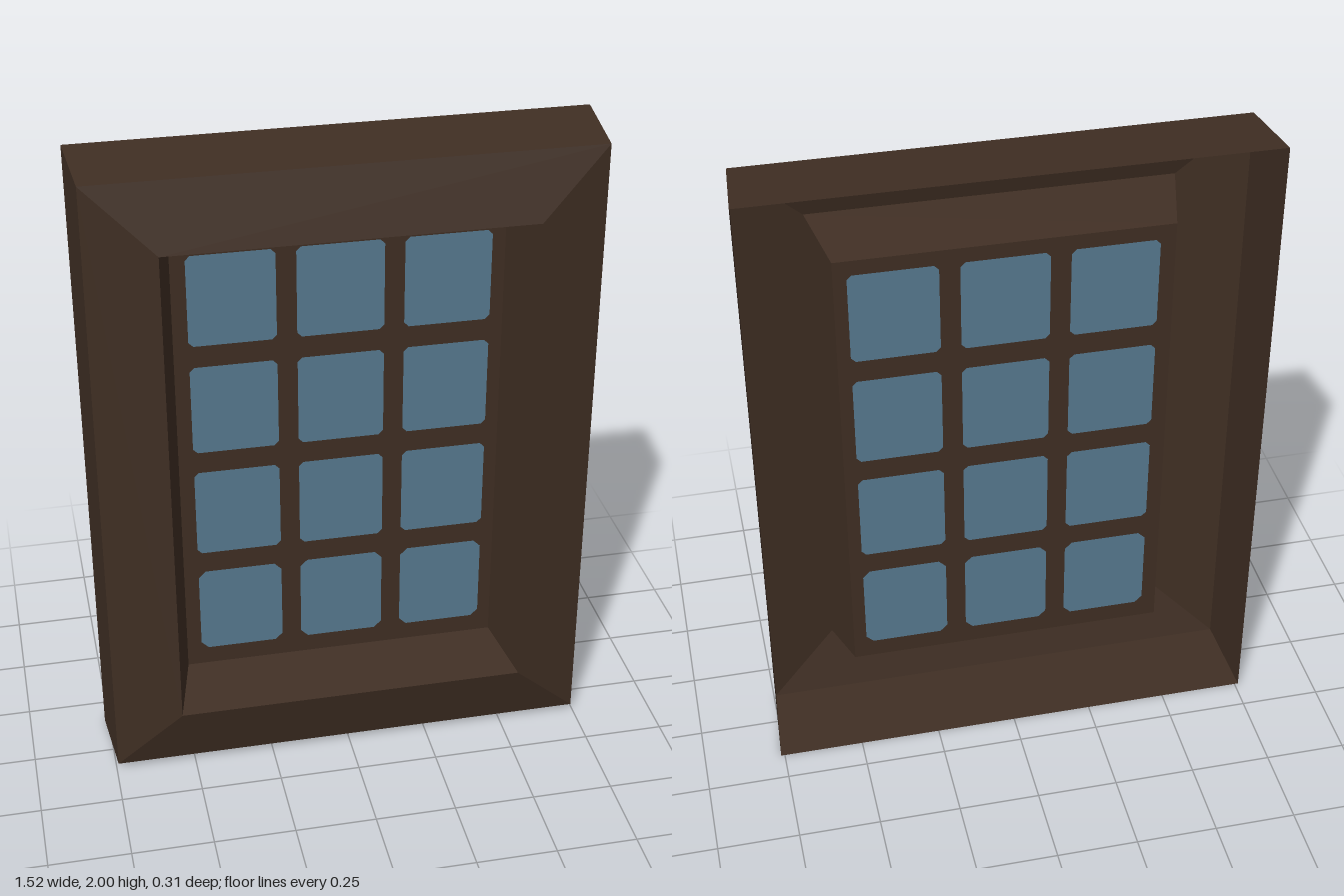
import * as THREE from 'three';

const wood = new THREE.MeshStandardMaterial({ color: 0x3f2e23, side: THREE.DoubleSide });
wood.name = 'darkWood';
const glass = new THREE.MeshStandardMaterial({ color: 0x56788e, side: THREE.DoubleSide });
glass.name = 'blueGlass';

// Corners of a rectangular ring around the window centre, anticlockwise from the front
function ring({ w, h, z }) {
  return [[-w, 1 - h, z], [w, 1 - h, z], [w, 1 + h, z], [-w, 1 + h, z]];
}

// Four mitred faces joining two rings
function band(name, from, to) {
  const a = ring(from), b = ring(to), points = [];
  for (let i = 0; i < 4; i++) {
    const j = (i + 1) % 4;
    points.push(...a[i], ...a[j], ...b[j], ...a[i], ...b[j], ...b[i]);
  }
  const geometry = new THREE.BufferGeometry();
  geometry.setAttribute('position', new THREE.Float32BufferAttribute(points, 3));
  geometry.computeVertexNormals();
  const mesh = new THREE.Mesh(geometry, wood);
  mesh.name = name;
  return mesh;
}

// Pane outline with small clipped corners
function paneOutline(x, y, w, h, c) {
  return [
    [x - w + c, y - h], [x + w - c, y - h], [x + w, y - h + c], [x + w, y + h - c],
    [x + w - c, y + h], [x - w + c, y + h], [x - w, y + h - c], [x - w, y - h + c],
  ].map(([px, py]) => new THREE.Vector2(px, py));
}

export function createModel() {
  const model = new THREE.Group();
  model.name = 'window';

  // Hollow frame: tapered sides, sloping face, deep reveal
  const back = { w: 0.762, h: 1, z: -0.155 };
  const shoulder = { w: 0.744, h: 0.98, z: 0.1 };
  const lip = { w: 0.54, h: 0.78, z: 0.155 };
  const panel = { w: 0.492, h: 0.732, z: -0.04 };
  model.add(
    band('frameSides', back, shoulder),
    band('frameFace', shoulder, lip),
    band('frameReveal', lip, panel),
  );

  // Glazing bars: one sheet pierced by the panes
  const bars = new THREE.Shape(ring(panel).map(([x, y]) => new THREE.Vector2(x, y)));
  const panes = new THREE.Group();
  panes.name = 'panes';
  for (let row = 0; row < 4; row++) {
    for (let col = 0; col < 3; col++) {
      const outline = paneOutline(0.003 + (col - 1) * 0.32, 0.47 + row * 0.357, 0.13, 0.144, row ? 0.014 : 0.022);
      bars.holes.push(new THREE.Path(outline));
      const pane = new THREE.Mesh(new THREE.ShapeGeometry(new THREE.Shape(outline)), glass);
      pane.name = 'pane';
      pane.position.z = panel.z;
      panes.add(pane);
    }
  }
  const grid = new THREE.Mesh(new THREE.ShapeGeometry(bars), wood);
  grid.name = 'glazingBars';
  grid.position.z = panel.z;
  model.add(grid, panes);

  return model;
}
